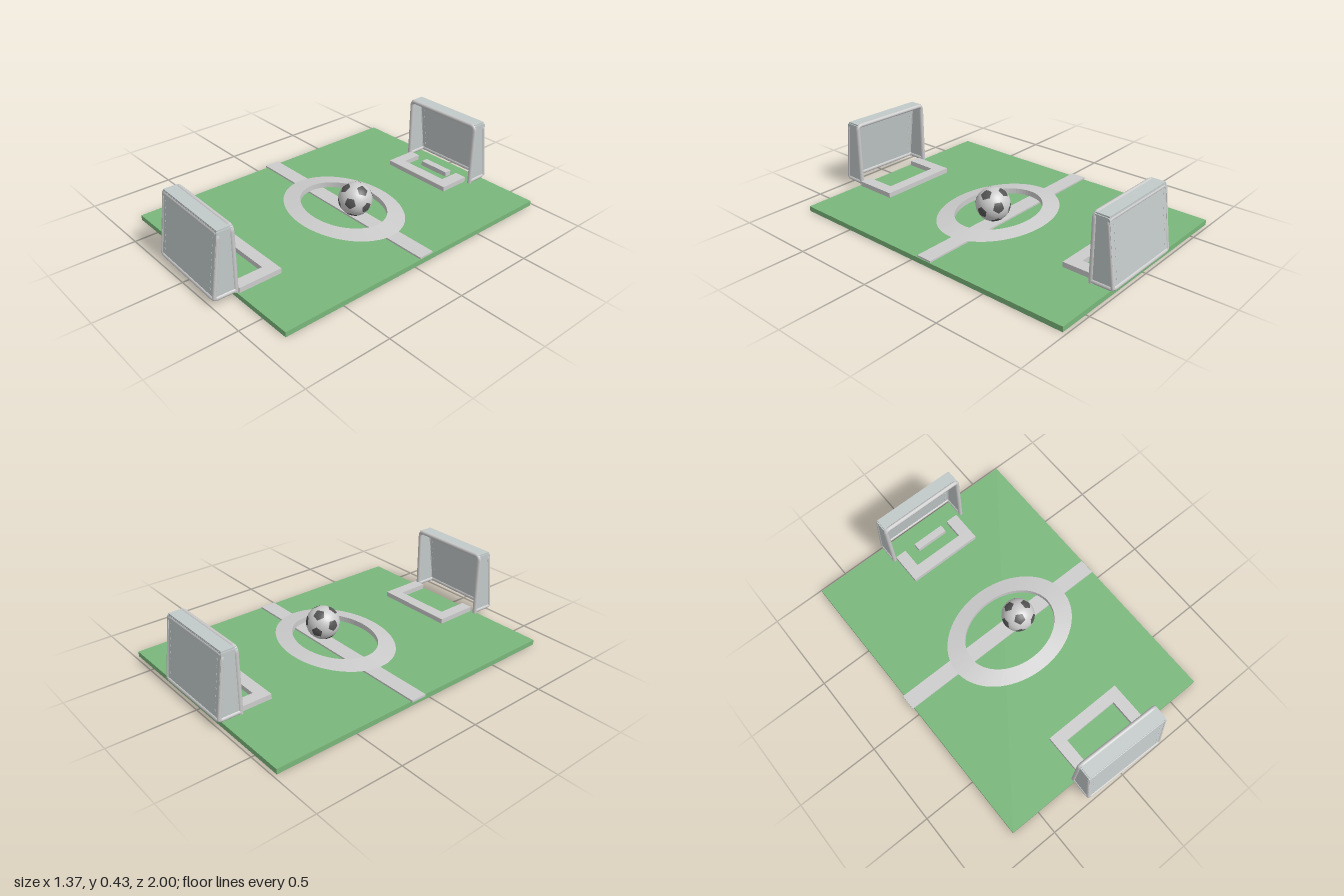
import * as THREE from 'three';

const mat = (color, extra = {}) => new THREE.MeshStandardMaterial({ color, ...extra });
const grey = mat(0xcccccc);
const panelGrey = mat(0xc2c9c9);
const V = (x, y, z) => new THREE.Vector3(x, y, z);

function add(parent, name, geometry, material) {
  const mesh = new THREE.Mesh(geometry, material);
  mesh.name = name;
  parent.add(mesh);
  return mesh;
}

// Box given by its limits on each axis
function block(parent, name, [x0, x1], [y0, y1], [z0, z1], material = grey) {
  const mesh = add(parent, name, new THREE.BoxGeometry(x1 - x0, y1 - y0, z1 - z0), material);
  mesh.position.set((x0 + x1) / 2, (y0 + y1) / 2, (z0 + z1) / 2);
  return mesh;
}

// Tube along a polyline with rounded corners
function bentTube(points, bend, radius) {
  const path = new THREE.CurvePath();
  let from = points[0];
  for (let i = 1; i < points.length - 1; i++) {
    const p = points[i];
    const a = p.clone().add(points[i - 1].clone().sub(p).setLength(bend));
    const b = p.clone().add(points[i + 1].clone().sub(p).setLength(bend));
    path.add(new THREE.LineCurve3(from, a));
    path.add(new THREE.QuadraticBezierCurve3(a, p, b));
    from = b;
  }
  path.add(new THREE.LineCurve3(from, points[points.length - 1]));
  return new THREE.TubeGeometry(path, 120, radius, 10);
}

// Goal with its mouth at z = 0 and its back towards +z
function makeGoal(name) {
  const goal = new THREE.Group();
  goal.name = name;
  const w = 0.256, r = 0.013, low = 0.048, high = 0.415;
  const zTop = 0.09, zBase = 0.138;

  // Frame: mouth, sloping back and base
  add(goal, 'mouthFrame', bentTube(
    [V(-w, 0.035, r), V(-w, high, r), V(w, high, r), V(w, 0.035, r)], 0.025, r), grey);
  add(goal, 'backFrame', bentTube(
    [V(-w, low, zBase), V(-w, high - 0.012, zTop), V(w, high - 0.012, zTop), V(w, low, zBase)], 0.025, 0.011), grey);
  add(goal, 'baseFrame', bentTube(
    [V(-w, low, r), V(-w, low, zBase), V(w, low, zBase), V(w, low, r)], 0.02, r), grey);

  // Side panels, sloping at the back
  const side = new THREE.Shape();
  side.moveTo(-0.01, low);
  side.lineTo(-0.01, high);
  side.lineTo(-zTop, high);
  side.quadraticCurveTo(-zTop - 0.009, high, -zTop - 0.011, high - 0.015);
  side.lineTo(-zBase - 0.008, low);
  const sideGeometry = new THREE.ExtrudeGeometry(side, { depth: 0.012, bevelEnabled: false });
  sideGeometry.translate(0, 0, -0.006).rotateY(Math.PI / 2);
  for (const s of [-1, 1]) add(goal, 'sidePanel', sideGeometry, panelGrey).position.x = s * w;

  // Top and back panels
  block(goal, 'topPanel', [-w, w], [high - 0.004, high + 0.008], [0.01, zTop + 0.005], panelGrey);
  const dy = high - low, dz = zBase - zTop;
  const back = new THREE.Group();
  back.name = 'back';
  back.position.set(0, (low + high) / 2, (zTop + zBase) / 2);
  back.rotation.x = -Math.atan2(dz, dy);
  goal.add(back);
  add(back, 'backPanel', new THREE.BoxGeometry(2 * w, Math.hypot(dy, dz), 0.012), panelGrey);

  // Small clips down both edges of the back panel
  const clip = new THREE.BoxGeometry(0.005, 0.01, 0.016);
  for (const s of [-1, 1])
    for (let i = 0; i < 8; i++)
      add(back, 'clip', clip, grey).position.set(s * (w - 0.03), -0.14 + i * 0.04, 0);
  return goal;
}

// Raised three-sided outline in front of a goal
function makeBox(parent, name, [x0, x1], [x2, x3], [za, zb], zEnd) {
  const group = new THREE.Group();
  group.name = name;
  parent.add(group);
  const y = [0.03, 0.06];
  block(group, 'frontLine', [x0, x3], y, [Math.min(za, zb), Math.max(za, zb)]);
  for (const x of [[x0, x1], [x2, x3]])
    block(group, 'sideLine', x, y, [Math.min(zb, zEnd), Math.max(zb, zEnd)]);
}

// Pentagon of the given angular radius, laid on a sphere around direction n
function pentagonPatch(n, toward, radius, angle) {
  const geometry = new THREE.RingGeometry(0, 1, 30, 4);
  const p = geometry.attributes.position, normal = geometry.attributes.normal;
  const u = toward.clone().addScaledVector(n, -toward.dot(n)).normalize();
  const v = n.clone().cross(u);
  const sector = Math.PI * 0.4;
  for (let i = 0; i < p.count; i++) {
    const x = p.getX(i), y = p.getY(i);
    const t = (Math.atan2(y, x) + 2 * Math.PI + 1e-6) % sector;
    const k = Math.tan(angle) * Math.cos(sector / 2) / Math.cos(t - sector / 2);
    const d = n.clone().addScaledVector(u, x * k).addScaledVector(v, y * k).normalize();
    p.setXYZ(i, d.x * radius, d.y * radius, d.z * radius);
    normal.setXYZ(i, d.x, d.y, d.z);
  }
  return geometry;
}

function makeBall(radius) {
  const ball = new THREE.Group();
  ball.name = 'ball';
  add(ball, 'ballSurface', new THREE.SphereGeometry(radius, 48, 32), grey);
  const dark = mat(0x555555);
  // Twelve patch centres: four rings of three
  const centres = [];
  for (const [polar, turn] of [[37.38, 0], [79.19, 60], [100.81, 0], [142.62, 60]])
    for (let i = 0; i < 3; i++)
      centres.push(V(0, 0, 0).setFromSphericalCoords(1,
        THREE.MathUtils.degToRad(polar), THREE.MathUtils.degToRad(90 + turn + i * 120)));
  for (const n of centres) {
    const neighbour = centres.find(c => c !== n && c.dot(n) > 0.4);
    add(ball, 'darkPatch', pentagonPatch(n, neighbour, radius * 1.006, 0.35), dark);
  }
  return ball;
}

export function createModel() {
  const model = new THREE.Group();
  model.name = 'footballPitch';

  // Pitch and halfway line
  block(model, 'pitch', [-0.68, 0.68], [0, 0.03], [-0.98, 0.86], mat(0x79b67a));
  block(model, 'halfwayLine', [-0.69, 0.675], [0.028, 0.04], [-0.135, -0.04]);

  // Oval centre ring with a triangular section
  const ring = new THREE.TorusGeometry(0.328, 0.077, 3, 72);
  ring.rotateX(Math.PI / 2).scale(1, 0.25, 0.753);
  add(model, 'centreRing', ring, mat(0xcccccc, { flatShading: true })).position.set(0.042, 0.06, -0.055);

  // Ball
  const ball = makeBall(0.098);
  ball.position.set(0.12, 0.141, -0.078);
  model.add(ball);

  // Outlines in front of the goals
  makeBox(model, 'rearBox', [-0.2, -0.13], [0.19, 0.265], [-0.67, -0.74], -0.865);
  block(model, 'rearSmallBox', [-0.06, 0.145], [0.03, 0.06], [-0.865, -0.82]);
  makeBox(model, 'frontBox', [-0.195, -0.125], [0.225, 0.297], [0.59, 0.66], 0.85);

  // Goals
  const frontGoal = makeGoal('frontGoal');
  frontGoal.position.set(0.025, 0, 0.84);
  frontGoal.rotation.y = -0.028;
  const rearGoal = makeGoal('rearGoal');
  rearGoal.position.set(0.043, 0, -0.855);
  rearGoal.rotation.y = Math.PI;
  model.add(frontGoal, rearGoal);
  return model;
}
